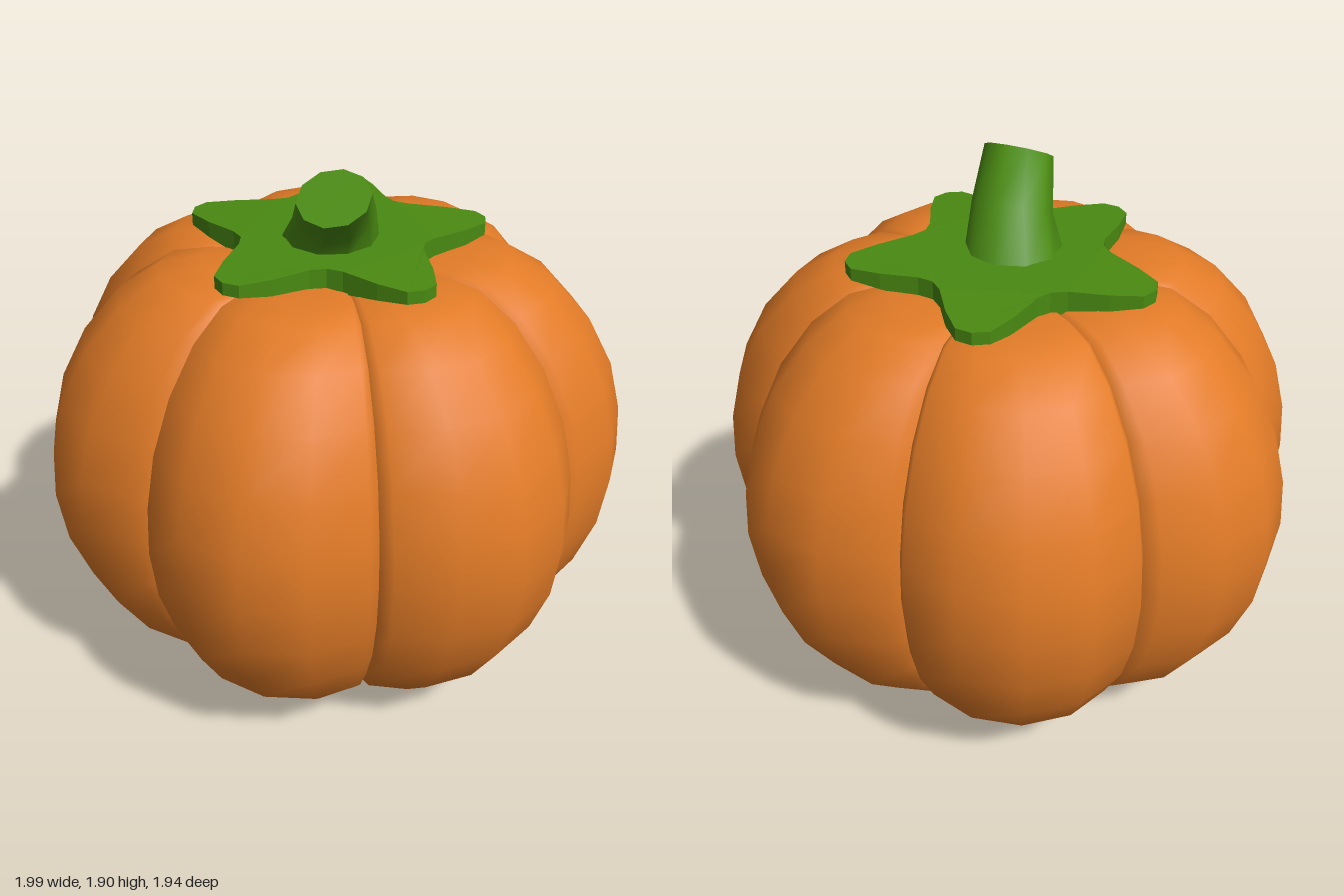
import * as THREE from 'three';

const orange = new THREE.MeshStandardMaterial({ color: 0xe27b27 });
orange.name = 'pumpkinOrange';
const green = new THREE.MeshStandardMaterial({ color: 0x4a8a12 });
green.name = 'stemGreen';

const LOBES = 7;
const MID_Y = 0.79;

// Vertical outline of a lobe: [radius scale, height], bottom to top
const PROFILE = [
  [0, 0.035], [0.14, 0.012], [0.29, 0], [0.5, 0.045], [0.67, 0.13], [0.805, 0.26],
  [0.91, 0.43], [0.975, 0.61], [1, 0.8], [0.987, 0.97], [0.94, 1.15], [0.85, 1.32],
  [0.725, 1.46], [0.585, 1.542], [0.45, 1.557], [0.28, 1.55], [0, 1.51],
];

// Half cross-section of a lobe: [sideways, outward, sink towards the groove]
const HALF = [[0, 1.022, 0], [0.208, 0.973, 0.003], [0.365, 0.842, 0.012], [0.376, 0.775, 0.03]];
const SECTION = [
  ...HALF.slice(1).reverse().map(([t, r, k]) => [-t, r, k]),
  ...HALF,
];

function lobeGeometry(angle) {
  const positions = [];
  const indices = [];
  const cos = Math.cos(angle);
  const sin = Math.sin(angle);
  const n = SECTION.length;
  PROFILE.forEach(([s, y], i) => {
    SECTION.forEach(([t, r, sink], j) => {
      positions.push(
        s * (t * cos + r * sin),
        MID_Y + (y - MID_Y) * (1 - sink),
        s * (r * cos - t * sin) * 0.975 - 0.027,
      );
      if (i < PROFILE.length - 1 && j < n - 1) {
        const a = i * n + j;
        indices.push(a, a + 1, a + n + 1, a, a + n + 1, a + n);
      }
    });
  });
  const geometry = new THREE.BufferGeometry();
  geometry.setAttribute('position', new THREE.Float32BufferAttribute(positions, 3));
  geometry.setIndex(indices);
  geometry.computeVertexNormals();
  return geometry;
}

// Five-pointed leaf cap with blunt tips and rounded valleys
function leafGeometry() {
  const arm = [[-36, 0.315], [-27, 0.335], [-14, 0.43], [-6, 0.51], [0, 0.525], [6, 0.51], [14, 0.43], [27, 0.335]];
  const points = [];
  for (let i = 0; i < 5; i++) {
    for (const [offset, r] of arm) {
      const a = THREE.MathUtils.degToRad(42 + i * 72 + offset);
      points.push(new THREE.Vector2(r * Math.cos(a), r * Math.sin(a)));
    }
  }
  const geometry = new THREE.ExtrudeGeometry(new THREE.Shape(points), { depth: 0.08, bevelEnabled: false });
  geometry.rotateX(Math.PI / 2);
  // Thin the arms towards their tips
  const p = geometry.attributes.position;
  for (let i = 0; i < p.count; i++) {
    const reach = THREE.MathUtils.smoothstep(Math.hypot(p.getX(i), p.getZ(i)), 0.3, 0.52);
    p.setY(i, p.getY(i) < -0.01 ? -0.08 + 0.03 * reach : -0.008 * reach);
  }
  geometry.computeVertexNormals();
  return geometry;
}

// Bent, tapering stem: each ring has a centre, radius and forward tilt
function stemGeometry() {
  const rings = [
    { c: [-0.01, 1.58, -0.005], r: 0.168, tilt: 0 },
    { c: [0.03, 1.72, 0.07], r: 0.135, tilt: 0.48 },
    { c: [0.083, 1.84, 0.247], r: 0.117, tilt: 0.49 },
  ];
  const geometry = new THREE.CylinderGeometry(1, 1, 2, 10, 2);
  const p = geometry.attributes.position;
  for (let i = 0; i < p.count; i++) {
    const { c, r, tilt } = rings[Math.round(p.getY(i)) + 1];
    const x = p.getX(i) * r;
    const z = p.getZ(i) * r;
    p.setXYZ(i, c[0] + x, c[1] - z * Math.sin(tilt), c[2] + z * Math.cos(tilt));
  }
  geometry.computeVertexNormals();
  return geometry;
}

export function createModel() {
  const model = new THREE.Group();
  model.name = 'pumpkin';

  const body = new THREE.Group();
  body.name = 'body';
  for (let i = 0; i < LOBES; i++) {
    const lobe = new THREE.Mesh(lobeGeometry((i / LOBES) * Math.PI * 2), orange);
    lobe.name = `lobe${i + 1}`;
    body.add(lobe);
  }
  model.add(body);

  const leaf = new THREE.Mesh(leafGeometry(), green);
  leaf.name = 'leafCap';
  leaf.position.set(0, 1.615, -0.04);
  model.add(leaf);

  const stem = new THREE.Mesh(stemGeometry(), green);
  stem.name = 'stem';
  model.add(stem);

  return model;
}
